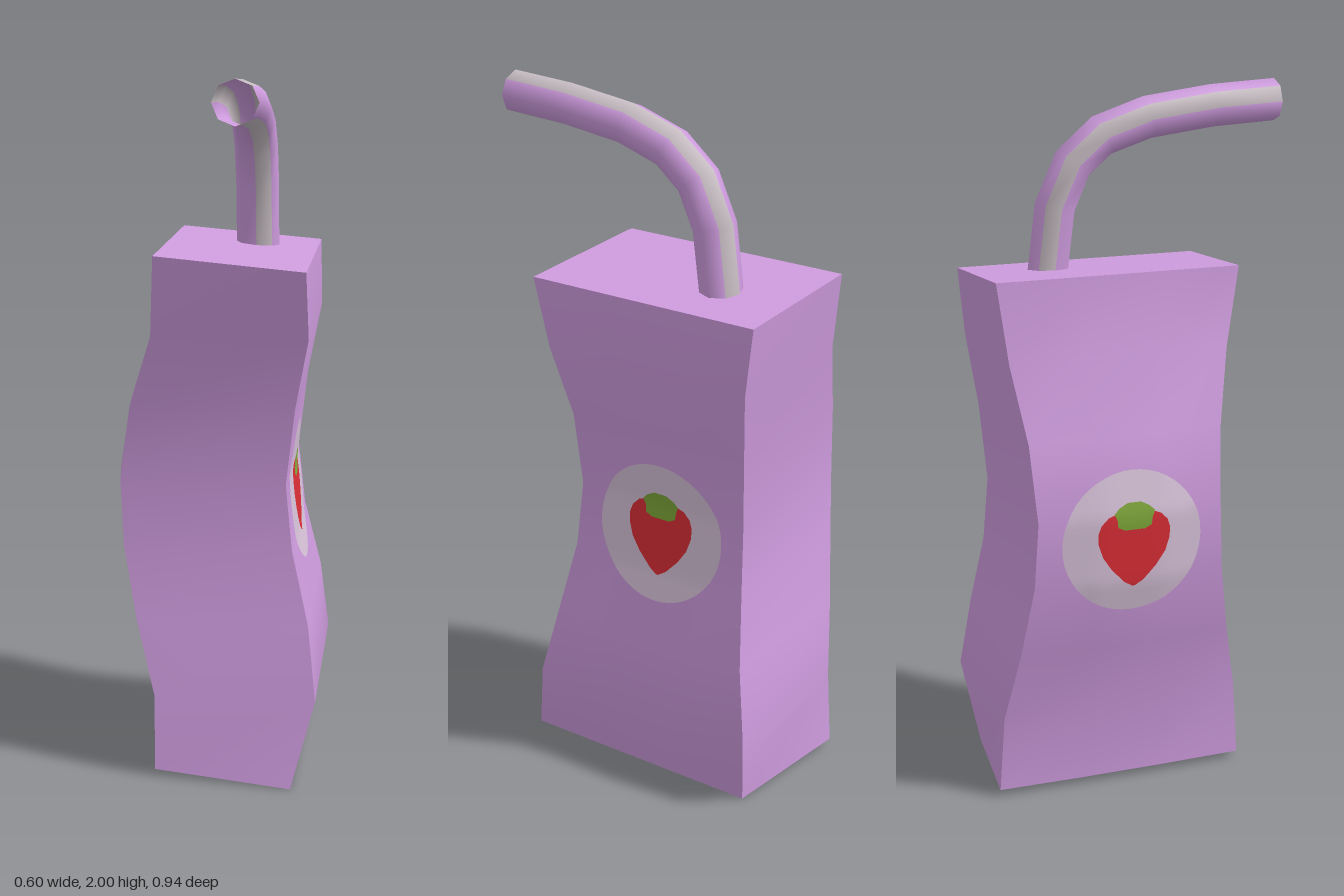
import * as THREE from 'three';
import { mergeGeometries } from 'three/addons/utils/BufferGeometryUtils.js';

// Carton cross-sections, bottom to top:
// y at -x, y at +x, x at -x, x at +x, front z (-x, +x), back z (-x, +x), bulge of the -x side
const LEVELS = [
  [0.02, 0, -0.165, 0.23, 0.275, 0.335, -0.47, -0.41, 0.005],
  [0.24, 0.24, -0.168, 0.295, 0.26, 0.27, -0.455, -0.45, 0.012],
  [0.45, 0.45, -0.225, 0.27, 0.21, 0.22, -0.42, -0.42, 0.018],
  [0.66, 0.66, -0.265, 0.22, 0.175, 0.185, -0.39, -0.39, 0.025],
  [0.85, 0.85, -0.275, 0.2, 0.165, 0.175, -0.38, -0.38, 0.025],
  [1.07, 1.07, -0.245, 0.225, 0.175, 0.185, -0.395, -0.395, 0.018],
  [1.28, 1.28, -0.178, 0.265, 0.22, 0.235, -0.425, -0.42, 0.012],
  [1.51, 1.475, -0.165, 0.26, 0.26, 0.29, -0.455, -0.44, 0],
];
const lerp = THREE.MathUtils.lerp;

// Smooth sheet of nu x nv quads; it faces along (u direction) x (v direction)
function sheet(nu, nv, point) {
  const pos = [], index = [];
  for (let j = 0; j <= nv; j++)
    for (let i = 0; i <= nu; i++) pos.push(...point(i / nu, j / nv));
  for (let j = 0; j < nv; j++)
    for (let i = 0; i < nu; i++) {
      const a = j * (nu + 1) + i, b = a + 1, c = a + nu + 1, d = c + 1;
      index.push(a, b, d, a, d, c);
    }
  const g = new THREE.BufferGeometry();
  g.setAttribute('position', new THREE.Float32BufferAttribute(pos, 3));
  g.setIndex(index);
  g.computeVertexNormals();
  return g;
}

// Point on a level: side 0 = -x, 1 = +x; t runs from back to front
function sidePoint(L, side, t) {
  const bulge = side ? 0 : L[8] * Math.min(1, 3 * t, 3 * (1 - t));
  return [L[2 + side] - bulge, L[side], lerp(L[6 + side], L[4 + side], t)];
}

function bodyGeometry() {
  const n = LEVELS.length - 1;
  const level = v => LEVELS[Math.round(v * n)];
  const across = (L, u, t) => {
    const a = sidePoint(L, 0, t), b = sidePoint(L, 1, t);
    return a.map((value, k) => lerp(value, b[k], u));
  };
  return mergeGeometries([
    sheet(1, n, (u, v) => across(level(v), u, 1)),
    sheet(1, n, (u, v) => across(level(v), 1 - u, 0)),
    sheet(3, n, (u, v) => sidePoint(level(v), 1, 1 - u)),
    sheet(3, n, (u, v) => sidePoint(level(v), 0, u)),
    sheet(1, 3, (u, v) => across(LEVELS[n], u, 1 - v)),
    sheet(1, 3, (u, v) => across(LEVELS[0], u, v)),
  ]);
}

// x of the carton's side wall at a given y and z
function wallX(side, y, z) {
  let i = 0;
  while (i < LEVELS.length - 2 && LEVELS[i + 1][side] < y) i++;
  const A = LEVELS[i], B = LEVELS[i + 1];
  const k = (y - A[side]) / (B[side] - A[side]);
  const L = A.map((value, j) => lerp(value, B[j], k));
  const t = THREE.MathUtils.clamp((z - L[6 + side]) / (L[4 + side] - L[6 + side]), 0, 1);
  return sidePoint(L, side, t)[0];
}

// Thin painted patch that follows the side wall; rows are [y, half width]
function patch(rows, side, lift) {
  const s = side ? 1 : -1;
  return sheet(10, rows.length - 1, (u, v) => {
    const [y, half] = rows[Math.round(v * (rows.length - 1))];
    const z = -0.108 - s * half * (2 * u - 1);
    return [wallX(side, y, z) + s * lift, y, z];
  });
}

// Octagonal straw, built one lengthwise facet at a time so stripes can be coloured
function strawGeometry() {
  const path = [[-0.225, 1.47], [-0.2, 1.665], [-0.146, 1.785], [-0.058, 1.86],
    [0.08, 1.905], [0.28, 1.93], [0.475, 1.94]]; // z, y
  const pos = [], index = [];
  path.forEach(([z, y], i) => {
    const a = path[Math.max(i - 1, 0)], b = path[Math.min(i + 1, path.length - 1)];
    let dz = b[0] - a[0], dy = b[1] - a[1];
    if (i === 0) dz = 0;
    if (i === path.length - 1) dy = 0;
    const len = Math.hypot(dz, dy);
    for (let k = 0; k < 8; k++) {
      const angle = k * Math.PI / 4, c = 0.063 * Math.cos(angle), r = 0.061 * Math.sin(angle);
      pos.push(0.084 + c, y + r * dz / len, z - r * dy / len);
    }
  });
  const g = new THREE.BufferGeometry();
  const striped = [1, 3, 6];
  for (let k = 0; k < 8; k++) {
    g.addGroup(index.length, (path.length - 1) * 6, striped.includes(k) ? 1 : 0);
    for (let i = 0; i < path.length - 1; i++) {
      const a = i * 8 + k, b = i * 8 + (k + 1) % 8;
      index.push(a, b, b + 8, a, b + 8, a + 8);
    }
  }
  g.setAttribute('position', new THREE.Float32BufferAttribute(pos, 3));
  g.setIndex(index);
  g.computeVertexNormals();
  return g;
}

export function createModel() {
  const material = (name, color, side = THREE.FrontSide) => {
    const m = new THREE.MeshStandardMaterial({ color, side });
    m.name = name;
    return m;
  };
  const lilac = material('lilac', 0xcf9cdf, THREE.DoubleSide);
  const paleGrey = material('paleGrey', 0xc6bcc2, THREE.DoubleSide);
  const labelPink = material('labelPink', 0xd8c3da);
  const red = material('berryRed', 0xdc2e36);
  const green = material('leafGreen', 0x80a83a);

  const model = new THREE.Group();
  model.name = 'juiceCarton';
  const add = (name, geometry, mat, parent = model) => {
    const mesh = new THREE.Mesh(geometry, mat);
    mesh.name = name;
    parent.add(mesh);
  };

  add('carton', bodyGeometry(), lilac);
  add('straw', strawGeometry(), [lilac, paleGrey]);

  // Round label with a strawberry on both sides
  const disc = [];
  for (let i = 0; i <= 24; i++) {
    const a = Math.PI * (i / 24 - 0.5);
    disc.push([0.775 + 0.207 * Math.sin(a), 0.207 * Math.cos(a)]);
  }
  const berry = [[0.645, 0.004], [0.66, 0.028], [0.7, 0.066], [0.74, 0.093], [0.78, 0.106],
    [0.81, 0.107], [0.835, 0.098], [0.855, 0.078], [0.865, 0.05]];
  const leaf = [[0.815, 0.03], [0.825, 0.05], [0.845, 0.052], [0.865, 0.06], [0.88, 0.045], [0.893, 0.02]];
  ['right', 'left'].forEach((_, side) => {
    const label = new THREE.Group();
    label.name = side ? 'leftLabel' : 'rightLabel';
    add('labelDisc', patch(disc, side, 0.004), labelPink, label);
    add('strawberry', patch(berry, side, 0.0065), red, label);
    add('strawberryLeaf', patch(leaf, side, 0.009), green, label);
    model.add(label);
  });
  return model;
}
